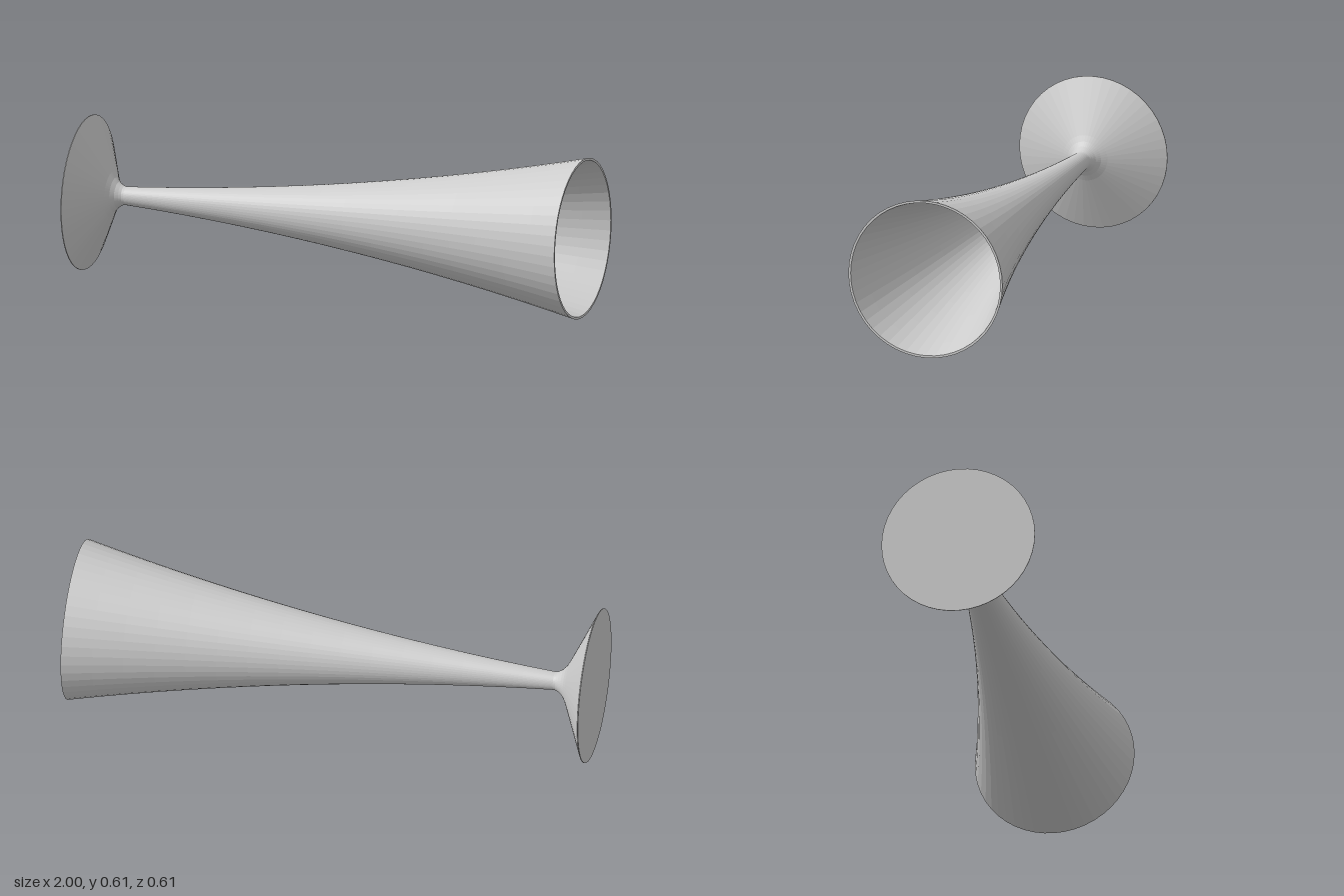
import * as THREE from 'three';

const SIDES = 48;
const RIM = 0.307;      // outer radius of the mouth, also the axis height
const STEM_X = -0.845;  // narrowest point
const WALL = 0.009;

// Radius of the flaring outside at position x along the axis
function flare(x) {
  const t = (x - STEM_X) / (1 - STEM_X);
  return 0.035 + 0.117 * t + 0.155 * t * t;
}

// Samples the flare between two positions, moved inwards by inset
function flarePoints(from, to, steps, inset) {
  const points = [];
  for (let i = 0; i <= steps; i++) {
    const x = from + ((to - from) * i) / steps;
    points.push([Math.max(flare(x) - inset, 0), x]);
  }
  return points;
}

export function createModel() {
  const group = new THREE.Group();
  const grey = new THREE.MeshStandardMaterial({ color: 0xcccccc, flatShading: true });
  grey.name = 'light grey';

  // Turns a profile of [radius, x] pairs about the long axis
  function turned(name, profile) {
    const geometry = new THREE.LatheGeometry(
      profile.map(([r, x]) => new THREE.Vector2(r, x)), SIDES);
    geometry.rotateZ(-Math.PI / 2);
    const mesh = new THREE.Mesh(geometry, grey);
    mesh.name = name;
    mesh.position.y = RIM;
    group.add(mesh);
  }

  // Conical foot with a flat underside and a small fillet into the stem
  turned('foot', [
    [0, -1], [0.295, -1], [0.295, -0.997], [0.088, -0.902], [0.066, -0.89],
    [0.05, -0.877], [0.041, -0.864], [0.036, -0.854], [0.035, STEM_X],
  ]);

  // Long trumpet-shaped outside
  turned('bowlOutside', flarePoints(STEM_X, 1, 16, 0));

  // Thin lip around the mouth
  turned('lip', [[RIM, 1], [RIM - WALL, 1]]);

  // Hollow inside, closed by a small rounded bottom
  turned('bowlInside', [
    ...flarePoints(1, -0.74, 16, WALL),
    [0.03, -0.755], [0.02, -0.766], [0, -0.772],
  ]);

  return group;
}
